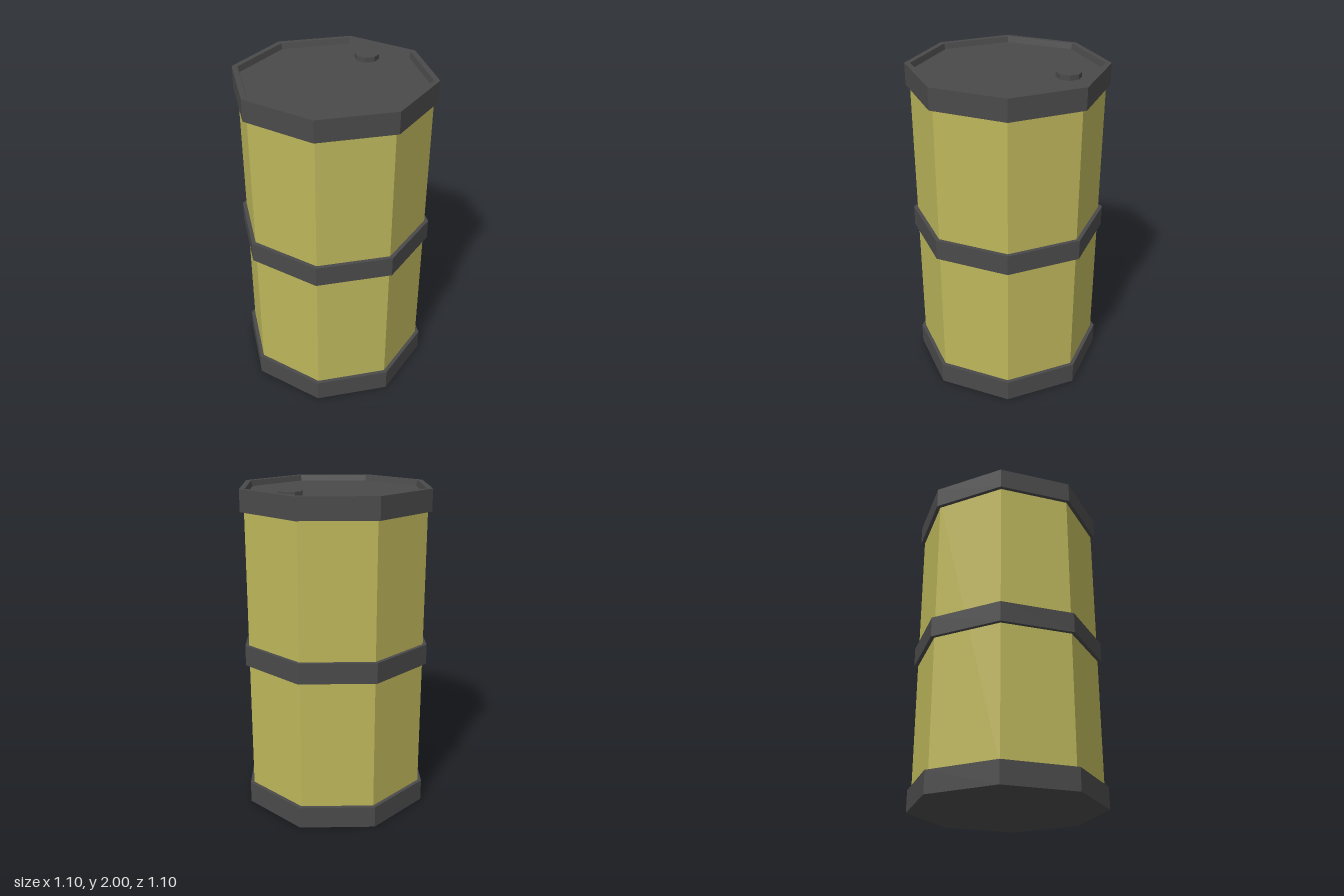
import * as THREE from 'three';

const SIDES = 8;
const K = 1 / Math.cos(Math.PI / SIDES); // flat-to-centre distance -> corner radius

export function createModel() {
  const yellow = new THREE.MeshStandardMaterial({ color: 0xbdb65b, flatShading: true });
  yellow.name = 'drumYellow';
  const grey = new THREE.MeshStandardMaterial({ color: 0x4a4a4a, flatShading: true });
  grey.name = 'darkGrey';

  const model = new THREE.Group();
  model.name = 'barrel';

  // Octagonal solid from a profile of [flat distance, height], listed bottom to top
  const turned = (name, profile, material) => {
    const points = profile.map(([r, y]) => new THREE.Vector2(r * K, y));
    const mesh = new THREE.Mesh(new THREE.LatheGeometry(points, SIDES, Math.PI / SIDES), material);
    mesh.name = name;
    model.add(mesh);
    return mesh;
  };

  const outer = 0.55, body = 0.527;

  // Painted drum wall
  turned('drumWall', [[body, 0.1], [body, 1.9]], yellow);

  // Base with closed underside
  turned('baseBand', [[0, 0], [outer, 0], [outer, 0.135], [body, 0.135]], grey);

  // Middle hoop
  turned('middleBand', [[body, 0.94], [outer, 0.94], [outer, 1.065], [body, 1.065]], grey);

  // Top rim with recessed lid
  turned('topRimAndLid', [
    [body, 1.87], [outer, 1.87], [outer, 2], [0.518, 2], [0.51, 1.965], [0, 1.965],
  ], grey);

  // Filler cap near the back of the lid
  const cap = turned('fillerCap', [[0.068, 0], [0.068, 0.03], [0, 0.03]], grey);
  cap.position.set(0, 1.965, -0.368);

  return model;
}
